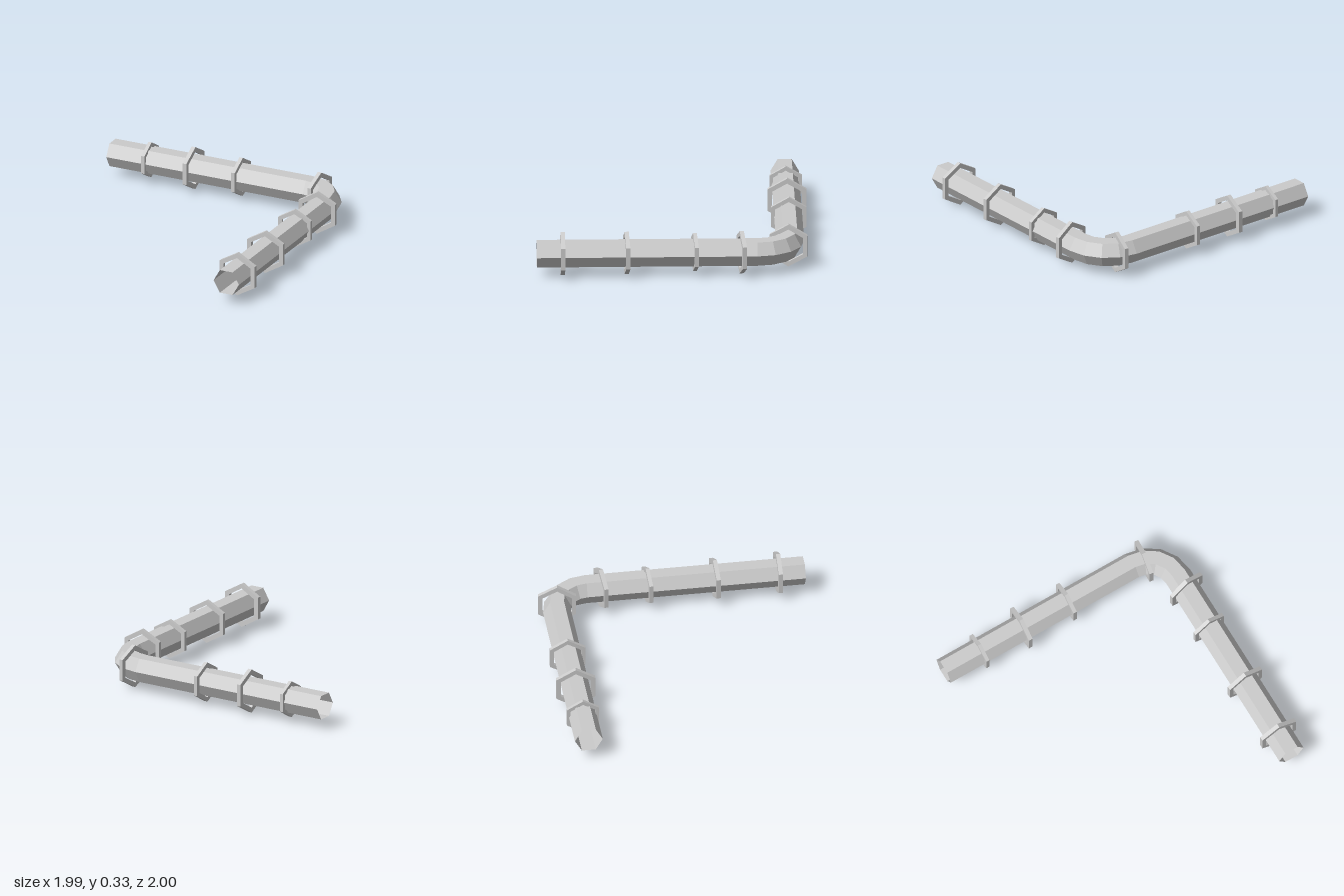
import * as THREE from 'three';

const AXIS_Y = 0.17;
const PIPE_RADIUS = 0.103;
const BEND = { x: 0.6, z: -0.61, radius: 0.247, steps: 4 };

const material = new THREE.MeshStandardMaterial({
  color: 0xcccccc, flatShading: true, side: THREE.DoubleSide,
});

// Open hexagonal pipe: straight, quarter bend, straight
function pipeGeometry() {
  const stations = [{ x: -1, z: BEND.z - BEND.radius, heading: 0 }];
  for (let i = 0; i <= BEND.steps; i++) {
    const heading = (i / BEND.steps) * Math.PI / 2;
    stations.push({
      x: BEND.x + BEND.radius * Math.sin(heading),
      z: BEND.z - BEND.radius * Math.cos(heading),
      heading,
    });
  }
  stations.push({ x: BEND.x + BEND.radius, z: 1, heading: Math.PI / 2 });

  const sides = 6, positions = [], index = [];
  stations.forEach(({ x, z, heading }, i) => {
    for (let j = 0; j < sides; j++) {
      const a = (j / sides) * Math.PI * 2;
      const out = PIPE_RADIUS * Math.cos(a);
      positions.push(
        x + out * Math.sin(heading),
        AXIS_Y + PIPE_RADIUS * Math.sin(a),
        z - out * Math.cos(heading),
      );
      if (i === stations.length - 1) continue;
      const k = (j + 1) % sides;
      const A = i * sides + j, B = i * sides + k;
      index.push(A, B, B + sides, A, B + sides, A + sides);
    }
  });
  const geometry = new THREE.BufferGeometry();
  geometry.setAttribute('position', new THREE.Float32BufferAttribute(positions, 3));
  geometry.setIndex(index);
  geometry.computeVertexNormals();
  return geometry;
}

// Hexagonal collar of unit radius, a corner pointing up, centred on its axis
function collarGeometry() {
  const hexagon = (r) => Array.from({ length: 6 }, (_, i) => {
    const a = Math.PI / 2 + i * Math.PI / 3;
    return new THREE.Vector2(r * Math.cos(a), r * Math.sin(a));
  });
  const shape = new THREE.Shape(hexagon(1));
  shape.holes.push(new THREE.Path(hexagon(0.775)));
  const geometry = new THREE.ExtrudeGeometry(shape, { depth: 0.19, bevelEnabled: false });
  return geometry.translate(0, 0, -0.095);
}

export function createModel() {
  const group = new THREE.Group();

  const pipe = new THREE.Mesh(pipeGeometry(), material);
  pipe.name = 'pipe';
  group.add(pipe);

  // Loose collars: x, z, radius, turn about the vertical
  const quarter = Math.PI / 2;
  const collars = [
    [-0.695, -0.857, 0.137, quarter],
    [-0.34, -0.858, 0.165, quarter - 0.03],
    [0.046, -0.861, 0.15, quarter - 0.02],
    [0.694, -0.843, 0.16, quarter - 0.13],
    [0.848, -0.497, 0.163, 0.15],
    [0.835, -0.156, 0.147, 0.085],
    [0.844, 0.343, 0.163, 0.06],
    [0.848, 0.81, 0.166, 0],
  ];
  const geometry = collarGeometry();
  collars.forEach(([x, z, radius, turn], i) => {
    const collar = new THREE.Mesh(geometry, material);
    collar.name = `collar${i + 1}`;
    collar.position.set(x, AXIS_Y, z);
    collar.rotation.y = turn;
    collar.scale.setScalar(radius);
    group.add(collar);
  });

  return group;
}
